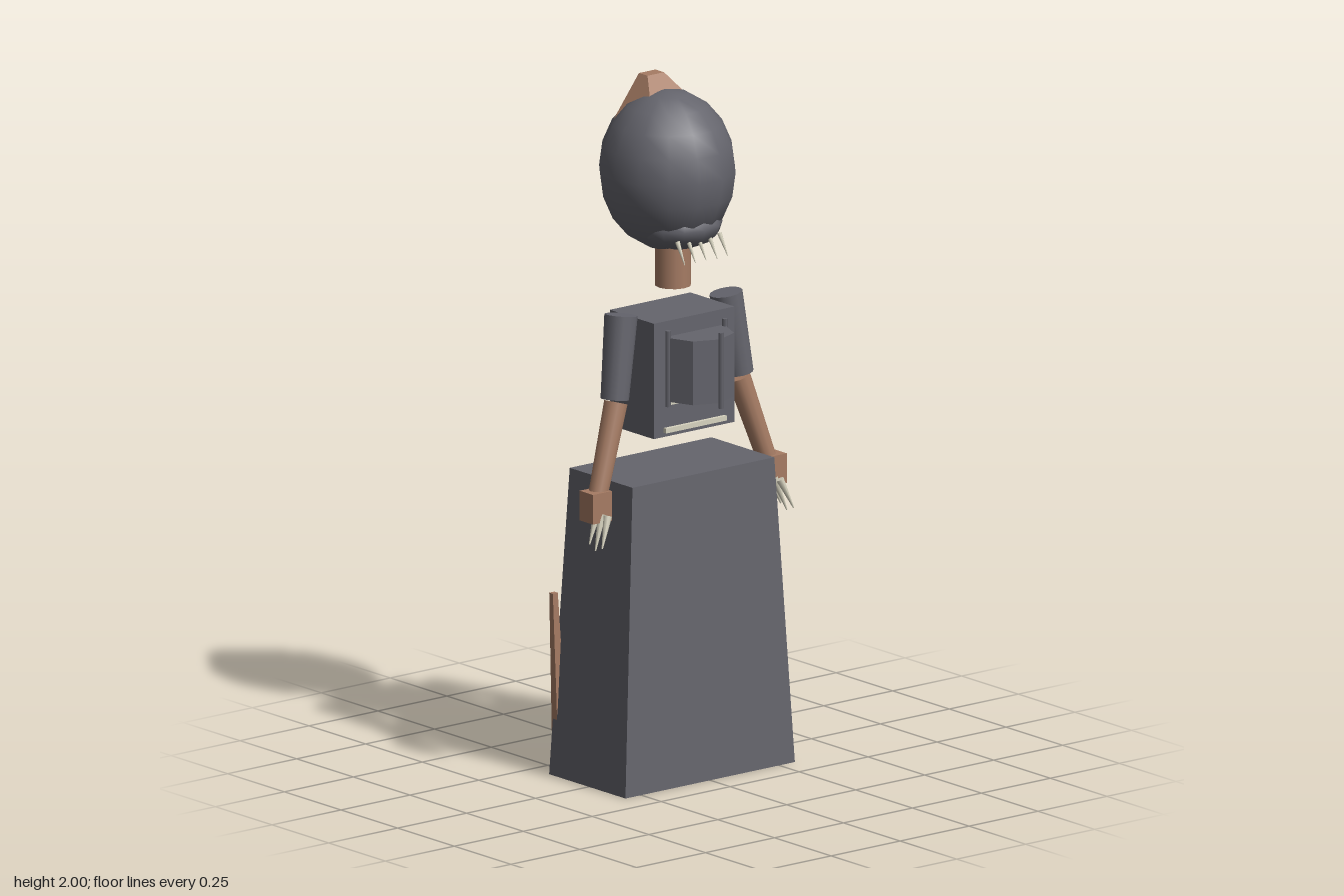
import * as THREE from 'three';

const mat = (name, color, side = THREE.FrontSide) => {
  const m = new THREE.MeshStandardMaterial({ color, side });
  m.name = name;
  return m;
};

export function createModel() {
  const grey = mat('slate grey', 0x65656d);
  const skin = mat('brown skin', 0xa67c64);
  const bone = mat('bone', 0xd8d4c0);
  const root = new THREE.Group();

  const add = (name, geo, material, x = 0, y = 0, z = 0) => {
    const m = new THREE.Mesh(geo, material);
    m.name = name;
    m.position.set(x, y, z);
    root.add(m);
    return m;
  };

  // Box whose bottom and top rectangles differ: [x0, x1, z0, z1]
  const taperedBox = (y0, y1, bottom, top) => {
    const g = new THREE.BoxGeometry(1, 1, 1).toNonIndexed();
    const p = g.attributes.position;
    for (let i = 0; i < p.count; i++) {
      const up = p.getY(i) > 0, r = up ? top : bottom;
      p.setXYZ(i, p.getX(i) < 0 ? r[0] : r[1], up ? y1 : y0, p.getZ(i) < 0 ? r[2] : r[3]);
    }
    g.computeVertexNormals();
    return g;
  };

  // Round limb from a to b, with a radius at each end
  const limb = (name, a, b, ra, rb, material, sides = 12) => {
    const A = new THREE.Vector3(...a), B = new THREE.Vector3(...b);
    const d = B.clone().sub(A);
    const m = add(name, new THREE.CylinderGeometry(rb, ra, d.length(), sides), material);
    m.position.copy(A).addScaledVector(d, 0.5);
    m.quaternion.setFromUnitVectors(new THREE.Vector3(0, 1, 0), d.normalize());
    return m;
  };

  // Robe and torso
  add('robe', taperedBox(0, 0.887, [-0.307, 0.307, -0.175, 0.162], [-0.257, 0.257, -0.145, 0.132]), grey);
  add('torso', new THREE.BoxGeometry(0.292, 0.335, 0.194), grey, 0, 1.168, -0.006);

  // Faceted chest drum with upright ribs at its corners
  const drum = new THREE.CylinderGeometry(0.105, 0.105, 0.185, 8).toNonIndexed();
  drum.computeVertexNormals();
  add('chestDrum', drum, grey, 0, 1.197, 0.102);
  for (const [x, z] of [[-0.103, 0.102], [0, 0.211], [0.103, 0.102]])
    add('drumRib', new THREE.CylinderGeometry(0.008, 0.008, 0.22, 6), grey, x, 1.2, z);
  add('upperBoneStrip', new THREE.BoxGeometry(0.2, 0.01, 0.012), bone, 0, 1.098, 0.096);
  add('lowerBoneStrip', new THREE.BoxGeometry(0.22, 0.014, 0.012), bone, 0, 1.02, 0.096);

  // Neck, head and jaw
  add('neck', new THREE.CylinderGeometry(0.051, 0.051, 0.135, 12), skin, 0, 1.472, -0.002);
  const head = add('head', new THREE.SphereGeometry(1, 14, 10), grey, 0, 1.736, -0.027);
  head.scale.set(0.193, 0.23, 0.198);
  const jaw = add('jaw', new THREE.SphereGeometry(1, 12, 8), grey, 0, 1.59, 0.03);
  jaw.scale.set(0.125, 0.07, 0.11);

  // Teeth slanting forward and down
  for (let i = -2; i <= 2; i++)
    limb('tooth', [i * 0.038, 1.565, 0.11], [i * 0.039, 1.505, 0.145], 0.007, 0.001, bone, 6);

  // Crest on the head
  add('crest', taperedBox(1.87, 2, [-0.112, 0.112, -0.133, 0.05], [-0.03, 0.03, -0.116, -0.078]), skin);

  for (const s of [1, -1]) {
    // Arm and hand
    limb('upperArm', [s * 0.19, 1.35, 0], [s * 0.226, 1.115, 0.016], 0.047, 0.04, grey, 14);
    limb('forearm', [s * 0.222, 1.105, 0.016], [s * 0.308, 0.85, 0.04], 0.034, 0.028, skin);
    add('hand', new THREE.BoxGeometry(0.068, 0.086, 0.06), skin, s * 0.317, 0.827, 0.043);

    // Pointed fingers
    for (const [z0, z1, tip] of [[0.09, 0.108, 0.72], [0.064, 0.078, 0.708], [0.042, 0.052, 0.722]])
      limb('finger', [s * 0.312, 0.805, z0], [s * 0.347, tip, z1], 0.012, 0.002, bone, 8);

    // Slender back limb along the rear robe corner
    const xs = (a, b) => (s > 0 ? [a, b] : [-b, -a]);
    add('backLimb', taperedBox(0.2, 0.53, [...xs(0.27, 0.3), -0.174, -0.15], [...xs(0.296, 0.314), -0.166, -0.15]), skin);
    add('backLimbFoot', taperedBox(0.01, 0.2, [...xs(0.25, 0.29), -0.181, -0.16], [...xs(0.27, 0.3), -0.174, -0.15]), skin);
    add('backPeg', new THREE.BoxGeometry(0.022, 0.03, 0.01), skin, s * 0.245, 0.38, -0.161);
  }
  return root;
}
